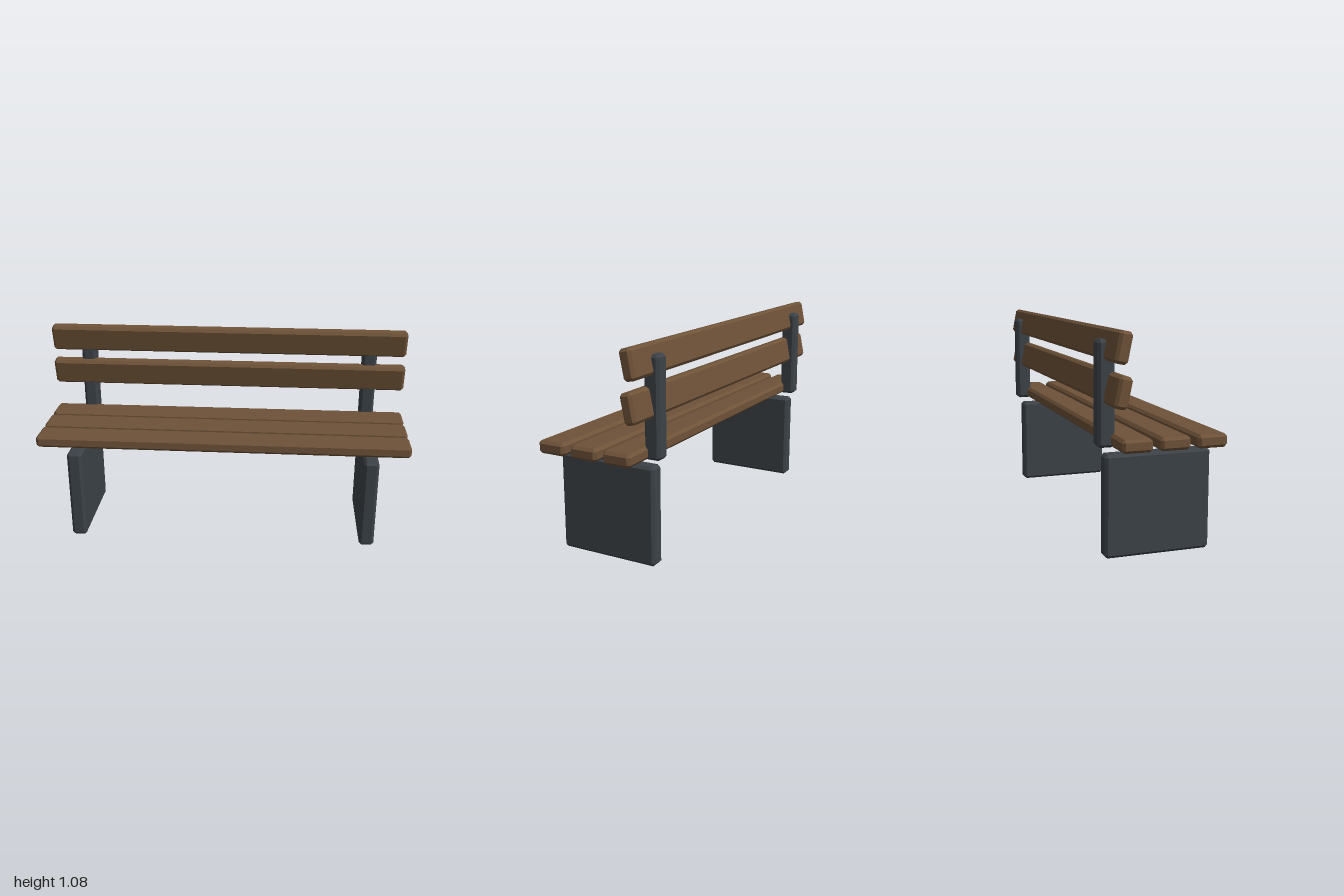
import * as THREE from 'three';
import { ConvexGeometry } from 'three/addons/geometries/ConvexGeometry.js';

// Box with flat chamfers along every edge
function chamferBox(w, h, d, c = 0.014) {
  const points = [];
  for (const sx of [-1, 1]) for (const sy of [-1, 1]) for (const sz of [-1, 1]) {
    const x = w / 2, y = h / 2, z = d / 2;
    points.push(
      new THREE.Vector3(sx * x, sy * (y - c), sz * (z - c)),
      new THREE.Vector3(sx * (x - c), sy * y, sz * (z - c)),
      new THREE.Vector3(sx * (x - c), sy * (y - c), sz * z)
    );
  }
  return new ConvexGeometry(points);
}

export function createModel() {
  const bench = new THREE.Group();
  bench.name = 'bench';

  const wood = new THREE.MeshStandardMaterial({ color: 0x6e5238 });
  wood.name = 'brown wood';
  const metal = new THREE.MeshStandardMaterial({ color: 0x3c4248 });
  metal.name = 'dark metal';

  const add = (name, geometry, material, x, y, z, tilt = 0) => {
    const mesh = new THREE.Mesh(geometry, material);
    mesh.name = name;
    mesh.position.set(x, y, z);
    mesh.rotation.x = tilt;
    bench.add(mesh);
  };

  // Seat planks, front to back
  const seatPlank = chamferBox(2, 0.064, 0.148);
  [0.215, 0.031, -0.153].forEach((z) => add('seatPlank', seatPlank, wood, 0, 0.568, z));

  // Tilted backrest planks
  const backPlank = chamferBox(2, 0.147, 0.064);
  add('lowerBackPlank', backPlank, wood, 0, 0.809, -0.22, 0.2);
  add('upperBackPlank', backPlank, wood, 0, 1.008, -0.22, 0.2);

  // Slab legs and backrest posts on both sides
  const leg = chamferBox(0.08, 0.5, 0.533);
  const post = chamferBox(0.08, 0.498, 0.083);
  for (const [side, x] of [['left', 0.8], ['right', -0.8]]) {
    add(side + 'Leg', leg, metal, x, 0.25, 0.014);
    add(side + 'BackPost', post, metal, x, 0.784, -0.246);
  }

  return bench;
}
